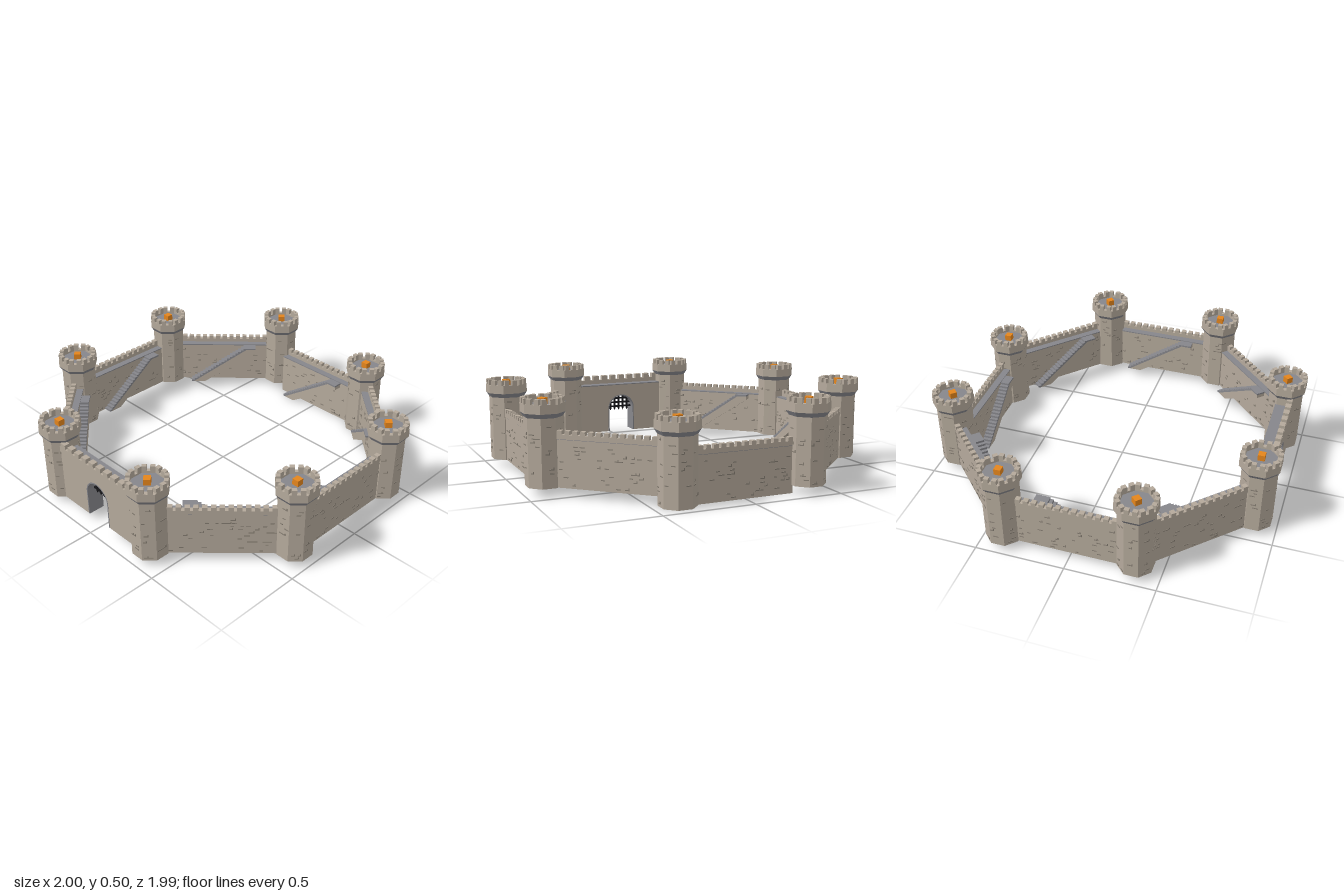
import * as THREE from 'three';
import { mergeGeometries } from 'three/addons/utils/BufferGeometryUtils.js';

const mat = (name, color) => {
  const m = new THREE.MeshStandardMaterial({ color });
  m.name = name;
  return m;
};

export function createModel() {
  const stone = mat('stone', 0xb4a99b);
  const roughStone = mat('rough stone', 0x857d72);
  const paving = mat('grey paving', 0x86868b);
  const iron = mat('black iron', 0x17171a);
  const fire = mat('orange', 0xe4851c);

  const model = new THREE.Group();
  model.name = 'castleWalls';

  let seed = 7;
  const rand = () => {
    seed = (seed * 16807) % 2147483647;
    return seed / 2147483647;
  };

  const add = (parent, name, geometry, material) => {
    const m = new THREE.Mesh(geometry, material);
    m.name = name;
    parent.add(m);
    return m;
  };
  const box = (w, h, d, x, y, z) => new THREE.BoxGeometry(w, h, d).translate(x, y, z);
  const extrude = (shape, depth) =>
    new THREE.ExtrudeGeometry(shape, { depth, bevelEnabled: false, curveSegments: 16 });

  // Rough stone edges scattered over a vertical face looking along +z
  const roughStones = (x0, x1, y0, y1, z, count) => {
    const list = [];
    for (let i = 0; i < count; i++) {
      const w = 0.016 + rand() * 0.014;
      const x = x0 + w / 2 + rand() * (x1 - x0 - w);
      const y = y0 + 0.012 + Math.floor(rand() * ((y1 - y0 - 0.024) / 0.02)) * 0.02;
      list.push(box(w, 0.005, 0.005, x, y, z));
      if (rand() < 0.4) list.push(box(0.005, 0.011, 0.005, x + w / 2 - 0.0025, y + 0.006, z));
    }
    return mergeGeometries(list);
  };

  // ---------- Towers ----------
  const COS = Math.cos(Math.PI / 8);
  const octPrism = (a0, a1, y0, y1) => {
    const g = new THREE.CylinderGeometry(a1 / COS, a0 / COS, y1 - y0, 8)
      .rotateY(Math.PI / 8).translate(0, (y0 + y1) / 2, 0).toNonIndexed();
    g.computeVertexNormals();
    return g;
  };
  const octPoints = (a) => Array.from({ length: 8 }, (_, i) => {
    const t = Math.PI / 8 + i * Math.PI / 4;
    return new THREE.Vector2(Math.cos(t) * a / COS, Math.sin(t) * a / COS);
  });

  const ringShape = new THREE.Shape(octPoints(0.108));
  ringShape.holes.push(new THREE.Path(octPoints(0.084)));
  const ringGeo = extrude(ringShape, 0.047).rotateX(-Math.PI / 2).translate(0, 0.43, 0);
  const merlons = [];
  for (let i = 0; i < 8; i++) {
    for (const x of [-0.022, 0.022]) {
      merlons.push(box(0.026, 0.03, 0.024, x, 0.49, 0.096).rotateY(i * Math.PI / 4));
    }
  }
  const towerMerlons = mergeGeometries(merlons);

  const towers = [
    [-0.36, -0.89], [0.36, -0.86, -0.045], [0.89, -0.37], [0.89, 0.365],
    [0.365, 0.885], [-0.37, 0.875], [-0.89, 0.36], [-0.89, -0.375],
  ];
  towers.forEach(([x, z, drop = 0], i) => {
    const tower = new THREE.Group();
    tower.name = 'tower';
    tower.position.set(x, drop, z);
    model.add(tower);
    add(tower, 'towerShaft', octPrism(0.093, 0.093, 0.045, 0.406), stone);
    add(tower, 'towerCorbel', octPrism(0.093, 0.108, 0.406, 0.431), paving);
    add(tower, 'towerParapet', ringGeo, stone);
    add(tower, 'towerMerlons', towerMerlons, stone);
    add(tower, 'towerFloor', octPrism(0.085, 0.085, 0.43, 0.466), paving);
    const marks = [];
    for (let f = 0; f < 8; f++) {
      marks.push(roughStones(-0.038, 0.038, 0.05, 0.4, 0.093, 6).rotateY(f * Math.PI / 4));
    }
    add(tower, 'towerRoughStones', mergeGeometries(marks), roughStone);
    // small beacon on the tower floor
    const beacon = add(tower, 'beacon', box(0.038, 0.034, 0.038, 0, 0.483, 0), fire);
    beacon.rotation.y = i % 2 ? 0 : Math.PI / 4;
  });

  // ---------- Stairs: stone slab with grey steps and landing on top ----------
  const RUN = 0.36, RISE = 0.25, STEPS = 20;
  const slabShape = new THREE.Shape([
    [0.012, 0], [RUN, RISE - 0.01], [0.42, RISE - 0.01], [0.42, RISE - 0.03], [0.085, 0],
  ].map(([x, y]) => new THREE.Vector2(x, y)));
  const stepShape = new THREE.Shape();
  stepShape.moveTo(0, 0);
  for (let i = 0; i < STEPS; i++) {
    stepShape.lineTo(i * RUN / STEPS, (i + 1) * RISE / STEPS);
    stepShape.lineTo((i + 1) * RUN / STEPS, (i + 1) * RISE / STEPS);
  }
  stepShape.lineTo(0.42, RISE);
  stepShape.lineTo(0.42, RISE - 0.01);
  stepShape.lineTo(RUN, RISE - 0.01);
  stepShape.lineTo(0.012, 0);
  const placeStairs = (shape) =>
    extrude(shape, 0.052).rotateY(Math.PI).translate(0.217, 0.047, -0.03);
  const slabGeo = placeStairs(slabShape);
  const stepGeo = placeStairs(stepShape);

  // Row of merlons along a wall
  const merlonRow = (len, n, y, h, d, z) => {
    const list = [];
    const step = len / n;
    for (let i = 0; i < n; i++) {
      list.push(box(step * 0.62, h, d, -len / 2 + (i + 0.5) * step, y + h / 2, z));
    }
    return mergeGeometries(list);
  };

  // ---------- Plain walls (local +z points outwards) ----------
  const buildWall = (a, b, drop) => {
    let [ax, az] = a, [bx, bz] = b;
    if (drop) az = bz = -0.86;
    const wall = new THREE.Group();
    wall.name = 'wall';
    const mx = (ax + bx) / 2, mz = (az + bz) / 2;
    let nx = bz - az, nz = ax - bx;
    if (nx * mx + nz * mz < 0) { nx = -nx; nz = -nz; }
    wall.position.set(mx, drop, mz);
    wall.rotation.y = Math.atan2(nx, nz);
    model.add(wall);
    const len = Math.hypot(bx - ax, bz - az) - 0.17;
    const h = len / 2;
    add(wall, 'wallBody', box(len, 0.249, 0.063, 0, 0.1705, 0.0015), stone);
    add(wall, 'walkway', box(len, 0.006, 0.064, 0, 0.298, 0.001), paving);
    add(wall, 'wallParapet', box(len, 0.024, 0.028, 0, 0.31, 0.0225), stone);
    add(wall, 'wallMerlons', merlonRow(len, 13, 0.322, 0.02, 0.028, 0.0225), stone);
    add(wall, 'wallRoughStones', mergeGeometries([
      roughStones(-h, h, 0.05, 0.29, 0.033, 34),
      roughStones(-h, h, 0.05, 0.29, 0.03, 30).rotateY(Math.PI),
    ]), roughStone);
    add(wall, 'stairSlab', slabGeo, stone);
    add(wall, 'stairSteps', stepGeo, paving);
  };
  for (let i = 0; i < 8; i++) {
    if (i !== 4) buildWall(towers[i], towers[(i + 1) % 8], i === 0 ? -0.045 : 0);
  }

  // ---------- Gate wall with arched opening ----------
  const gate = new THREE.Group();
  gate.name = 'gateWall';
  gate.position.z = 0.887;
  model.add(gate);
  const R = 0.09, SPRING = 0.198, BASE = 0.046;
  const archEdge = (path, r) => {
    path.lineTo(-r, BASE);
    path.lineTo(-r, SPRING);
    path.absarc(0, SPRING, r, Math.PI, 0, true);
    path.lineTo(r, BASE);
  };
  const gateShape = new THREE.Shape();
  gateShape.moveTo(-0.31, BASE);
  archEdge(gateShape, R);
  gateShape.lineTo(0.31, BASE);
  gateShape.lineTo(0.31, 0.354);
  gateShape.lineTo(-0.31, 0.354);
  add(gate, 'gateBody', extrude(gateShape, 0.094).translate(0, 0, -0.047), stone);
  add(gate, 'gateWalkway', box(0.6, 0.006, 0.094, 0, 0.356, 0), paving);
  add(gate, 'gateParapet', box(0.6, 0.03, 0.032, 0, 0.369, 0.034), stone);
  add(gate, 'gateMerlons', merlonRow(0.6, 10, 0.384, 0.027, 0.032, 0.034), stone);

  // grey lining of the arch
  const liningShape = new THREE.Shape();
  liningShape.moveTo(-R, BASE);
  archEdge(liningShape, R);
  liningShape.lineTo(R - 0.007, BASE);
  liningShape.lineTo(R - 0.007, SPRING);
  liningShape.absarc(0, SPRING, R - 0.007, 0, Math.PI, false);
  liningShape.lineTo(-R + 0.007, BASE);
  add(gate, 'archLining', extrude(liningShape, 0.096).translate(0, 0, -0.048), paving);

  // raised portcullis filling the upper part of the arch
  const bars = [];
  for (let i = -2; i <= 2; i++) {
    const x = i * 0.029;
    const top = SPRING + Math.sqrt(R * R - x * x) - 0.003;
    bars.push(box(0.01, top - 0.19, 0.01, x, (top + 0.19) / 2, 0));
    bars.push(new THREE.ConeGeometry(0.007, 0.014, 4).rotateX(Math.PI).translate(x, 0.184, 0));
  }
  for (let i = 0; i < 3; i++) {
    const y = 0.204 + i * 0.027;
    const half = Math.sqrt(R * R - (y - SPRING) ** 2) - 0.003;
    bars.push(box(half * 2, 0.01, 0.01, 0, y, 0));
  }
  add(gate, 'portcullis', mergeGeometries(bars), iron);

  return model;
}
